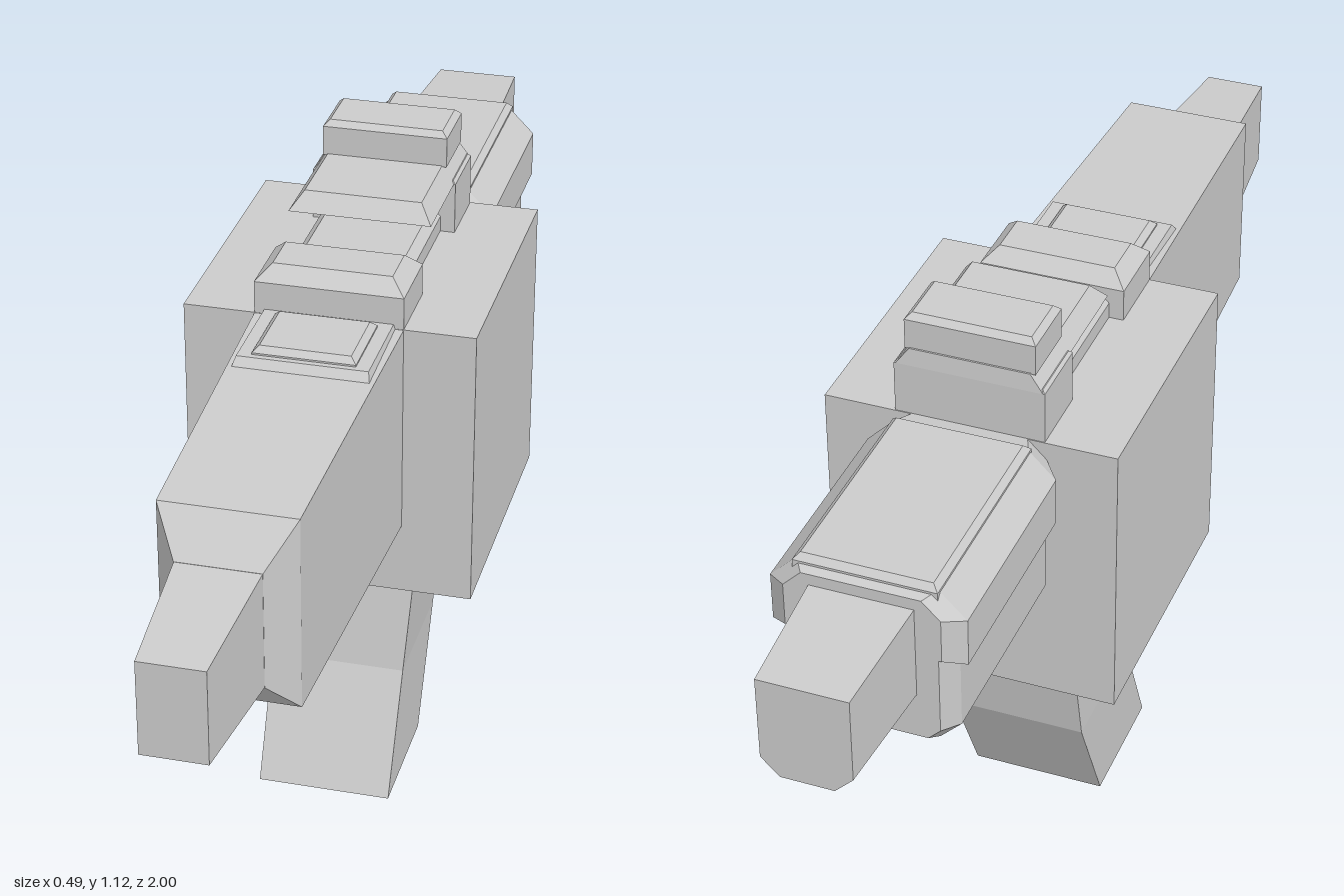
import * as THREE from 'three';

const material = new THREE.MeshStandardMaterial({ color: 0xcccccc, flatShading: true });

// Solid skinned over convex rings that run counter-clockwise about the loft axis
function loft(name, rings) {
  const pos = [];
  const tri = (a, b, c) => pos.push(...a, ...b, ...c);
  const n = rings[0].length;
  for (let r = 0; r < rings.length - 1; r++) {
    const a = rings[r], b = rings[r + 1];
    for (let i = 0; i < n; i++) {
      const j = (i + 1) % n;
      tri(a[i], a[j], b[j]);
      tri(a[i], b[j], b[i]);
    }
  }
  const first = rings[0], last = rings[rings.length - 1];
  for (let i = 1; i < n - 1; i++) {
    tri(first[0], first[i + 1], first[i]);
    tri(last[0], last[i], last[i + 1]);
  }
  const geometry = new THREE.BufferGeometry();
  geometry.setAttribute('position', new THREE.Float32BufferAttribute(pos, 3));
  geometry.computeVertexNormals();
  const mesh = new THREE.Mesh(geometry, material);
  mesh.name = name;
  return mesh;
}

// Section across the length, with optional bevels at the top and bottom corners
function zRing(z, w, y0, y1, top = 0, bottom = 0) {
  const ring = [[-w + bottom, y0, z], [w - bottom, y0, z]];
  if (bottom) ring.push([w, y0 + bottom, z]);
  if (top) ring.push([w, y1 - top, z]);
  ring.push([w - top, y1, z], [-w + top, y1, z]);
  if (top) ring.push([-w, y1 - top, z]);
  if (bottom) ring.push([-w, y0 + bottom, z]);
  return ring;
}

// Horizontal section
const yRing = (y, x0, x1, z0, z1) => [[x0, y, z1], [x1, y, z1], [x1, y, z0], [x0, y, z0]];

// Block with straight sides and a bevelled top
function cap(name, w, z0, z1, y0, y1, bevel) {
  return loft(name, [
    yRing(y0, -w, w, z0, z1),
    yRing(y1 - bevel, -w, w, z0, z1),
    yRing(y1, -w + bevel, w - bevel, z0 + bevel, z1 - bevel),
  ]);
}

export function createModel() {
  const model = new THREE.Group();
  model.name = 'blaster';

  // Central housing
  const receiver = new THREE.Mesh(new THREE.BoxGeometry(0.49, 0.495, 0.495), material);
  receiver.name = 'receiver';
  receiver.position.set(0, 0.688, -0.117);
  model.add(receiver);

  // Tapered front body and muzzle
  model.add(loft('foreBody', [
    zRing(0.12, 0.125, 0.566, 0.935),
    zRing(0.71, 0.11, 0.586, 0.917),
    zRing(0.765, 0.068, 0.65, 0.85),
  ]));
  model.add(loft('muzzle', [
    zRing(0.76, 0.068, 0.65, 0.85),
    zRing(1, 0.053, 0.67, 0.83),
  ]));

  // Rear body: wide upper shell overhanging a narrower lower shell
  model.add(loft('rearUpperShell', [
    zRing(-0.79, 0.125, 0.83, 0.935, 0.03),
    zRing(-0.765, 0.157, 0.815, 0.942, 0.045),
    zRing(-0.4, 0.157, 0.815, 0.942, 0.045),
    zRing(-0.36, 0.125, 0.83, 0.935, 0.03),
  ]));
  model.add(loft('rearLowerShell', [
    zRing(-0.79, 0.12, 0.675, 0.83, 0, 0.02),
    zRing(-0.755, 0.14, 0.652, 0.83, 0, 0.035),
    zRing(-0.4, 0.14, 0.652, 0.83, 0, 0.035),
    zRing(-0.36, 0.12, 0.675, 0.83, 0, 0.02),
  ]));
  model.add(cap('rearLid', 0.115, -0.775, -0.395, 0.93, 0.953, 0.01));
  model.add(loft('rearStub', [
    zRing(-1, 0.073, 0.73, 0.905, 0, 0.03),
    zRing(-0.78, 0.084, 0.72, 0.916, 0, 0.035),
  ]));

  // Bent grip
  model.add(loft('grip', [
    yRing(0, -0.13, 0.105, -0.1, 0.13),
    yRing(0.21, -0.13, 0.107, -0.2, 0.035),
    yRing(0.45, -0.124, 0.122, -0.24, -0.005),
  ]));

  // Low pads and blocks along the top
  model.add(loft('frontPad', [
    yRing(0.92, -0.115, 0.115, 0.13, 0.315),
    yRing(0.943, -0.108, 0.108, 0.13, 0.295),
  ]));
  model.add(cap('frontPadInset', 0.085, 0.145, 0.285, 0.935, 0.956, 0.01));
  model.add(cap('frontSightBlock', 0.125, 0, 0.13, 0.925, 1.016, 0.025));
  model.add(cap('middlePad', 0.1, -0.245, 0.01, 0.925, 0.978, 0.015));
  model.add(cap('rearSightBlock', 0.125, -0.363, -0.24, 0.925, 1.03, 0.005));

  // Sight: overhanging plate with a small block on it
  model.add(loft('sightPlate', [
    yRing(1.025, -0.122, 0.122, -0.363, -0.07),
    yRing(1.055, -0.1, 0.1, -0.36, -0.095),
  ]));
  model.add(cap('sightTop', 0.108, -0.357, -0.245, 1.053, 1.115, 0.01));

  return model;
}
